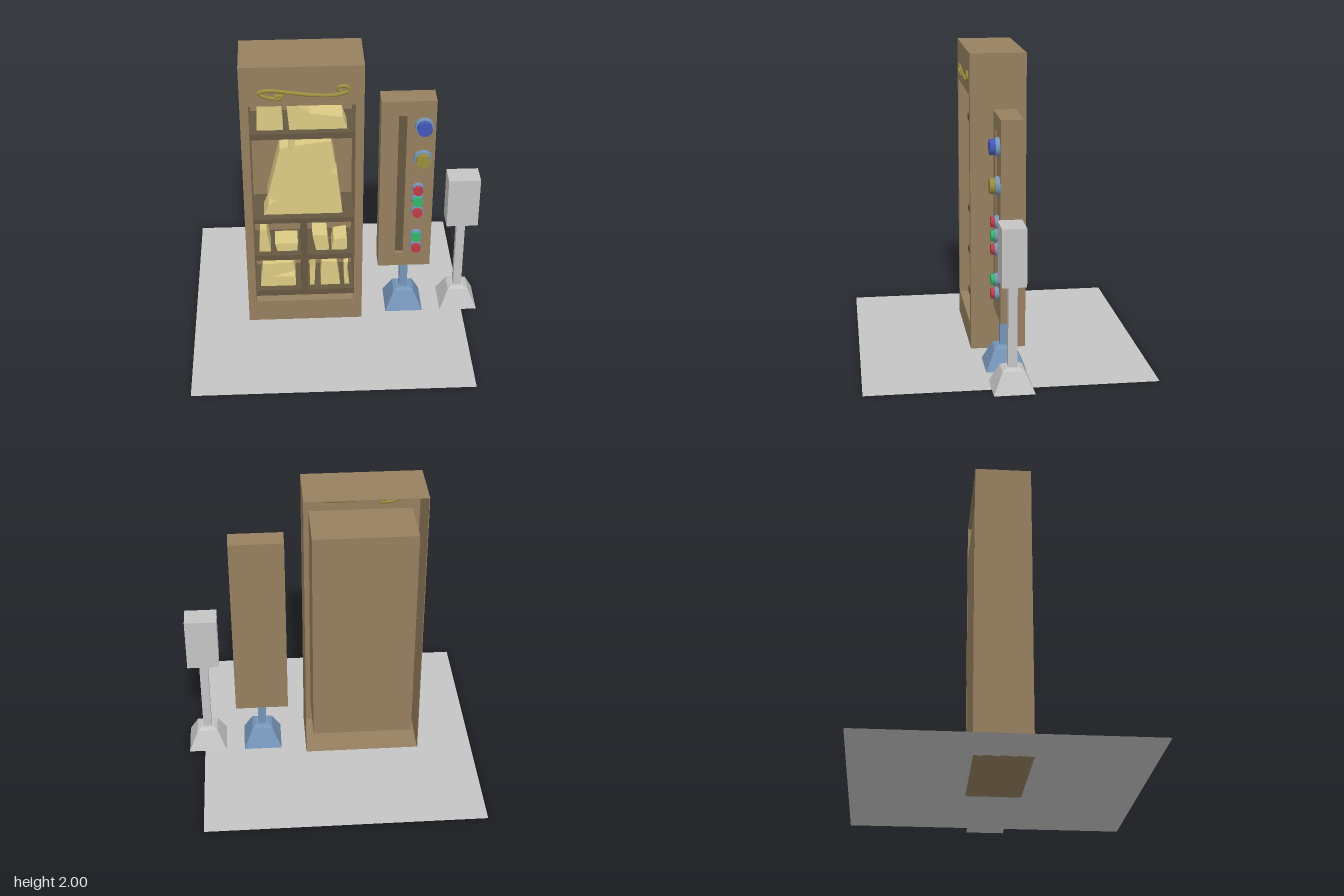
import * as THREE from 'three';

const mat = (name, color, side = THREE.FrontSide) => {
  const m = new THREE.MeshStandardMaterial({ color, side });
  m.name = name;
  return m;
};

export function createModel() {
  const wood = mat('wood', 0x96805f);
  const darkWood = mat('darkWood', 0x665842);
  const parchment = mat('paleStone', 0xdccb84);
  const gold = mat('gold', 0x988d3d);
  const steel = mat('blueSteel', 0x7494b8);
  const grey = mat('grey', 0xc4c4c4, THREE.DoubleSide);
  const blue = mat('blue', 0x4258bb);
  const red = mat('red', 0xc03c48);
  const green = mat('green', 0x32b569);

  const model = new THREE.Group();
  const group = (name) => {
    const g = new THREE.Group();
    g.name = name;
    model.add(g);
    return g;
  };
  const add = (parent, name, geo, material) => {
    const m = new THREE.Mesh(geo, material);
    m.name = name;
    parent.add(m);
    return m;
  };
  // Box given by its limits on each axis
  const box = (parent, name, material, x0, x1, y0, y1, z0, z1) => {
    const m = add(parent, name, new THREE.BoxGeometry(x1 - x0, y1 - y0, z1 - z0), material);
    m.position.set((x0 + x1) / 2, (y0 + y1) / 2, (z0 + z1) / 2);
    return m;
  };
  const polygon = (pts) => new THREE.Shape(pts.map(([x, y]) => new THREE.Vector2(x, y)));
  const rect = (x0, x1, y0, y1) => [[x0, y0], [x1, y0], [x1, y1], [x0, y1]];
  // Polygon extruded between two depths, with optional holes
  const slab = (parent, name, material, pts, z0, z1, holes = []) => {
    const shape = polygon(pts);
    holes.forEach((h) => shape.holes.push(polygon(h)));
    const geo = new THREE.ExtrudeGeometry(shape, { depth: z1 - z0, bevelEnabled: false });
    add(parent, name, geo, material).position.z = z0;
  };

  // Floor
  const floor = add(model, 'floor', new THREE.PlaneGeometry(1.87, 1.87), grey);
  floor.rotation.x = -Math.PI / 2;
  floor.position.set(-0.055, 0, -0.005);

  // Cabinet: thin shell, open at the back
  const cabinet = group('cabinet');
  const T = 0.004;
  const [L, R, B, F] = [-0.615, 0.17, -0.187, 0.182];
  slab(cabinet, 'frontFrame', wood, rect(L, R, 0, 2), F - T, F, [rect(-0.56, 0.115, 0.165, 1.725)]);
  box(cabinet, 'rightWall', wood, L, L + T, 0, 2, B, F - T);
  box(cabinet, 'leftWall', wood, R - T, R, 0, 2, B, F - T);
  box(cabinet, 'top', wood, L + T, R - T, 2 - T, 2, B, F - T);
  box(cabinet, 'bottom', wood, L + T, R - T, -0.001, 0.001, B, F - T);

  // Niche set into the cabinet
  box(cabinet, 'nicheBack', wood, -0.56, 0.115, 0.165, 1.725, B, B + T);
  box(cabinet, 'nicheRight', wood, -0.564, -0.56, 0.161, 1.729, B, F - T);
  box(cabinet, 'nicheLeft', wood, 0.115, 0.119, 0.161, 1.729, B, F - T);
  box(cabinet, 'nicheTop', wood, -0.56, 0.115, 1.725, 1.729, B, F - T);
  box(cabinet, 'nicheFloor', wood, -0.56, 0.115, 0.161, 0.165, B, F - T);

  // Shelves and divider
  [[1.44, 1.482], [0.78, 0.817], [0.472, 0.512], [0.165, 0.21]].forEach(([y0, y1]) =>
    box(cabinet, 'shelf', darkWood, -0.56, 0.115, y0, y1, B + T, 0.12));
  box(cabinet, 'divider', darkWood, -0.243, -0.2, 0.21, 0.472, B + T, 0.12);
  box(cabinet, 'divider', darkWood, -0.243, -0.2, 0.512, 0.78, B + T, 0.12);

  // Broken stone pieces on the shelves
  const fragments = [
    [[-0.51, 1.695], [-0.355, 1.675], [-0.345, 1.48], [-0.515, 1.48]],
    [[-0.32, 1.67], [-0.255, 1.665], [-0.17, 1.6], [0.04, 1.57], [0.07, 1.48], [-0.305, 1.48]],
    [[-0.37, 1.34], [-0.315, 1.35], [-0.3, 1.325], [-0.27, 1.36], [-0.035, 1.39], [-0.005, 1.19],
      [-0.04, 1.155], [0.005, 1.12], [0.04, 0.82], [-0.49, 0.82], [-0.455, 0.9], [-0.395, 0.93], [-0.46, 0.96]],
    [[-0.52, 0.705], [-0.475, 0.685], [-0.45, 0.51], [-0.53, 0.51]],
    [[-0.42, 0.575], [-0.265, 0.575], [-0.27, 0.51], [-0.405, 0.51]],
    [[-0.165, 0.64], [-0.065, 0.635], [-0.05, 0.51], [-0.14, 0.51]],
    [[-0.02, 0.595], [0.07, 0.61], [0.07, 0.51], [-0.035, 0.51]],
    [[-0.51, 0.4], [-0.3, 0.415], [-0.285, 0.34], [-0.44, 0.295], [-0.285, 0.285], [-0.285, 0.21], [-0.53, 0.21]],
    [[-0.185, 0.355], [-0.145, 0.415], [-0.155, 0.21], [-0.185, 0.21]],
    [[-0.105, 0.415], [0, 0.405], [0.025, 0.21], [-0.11, 0.21]],
    [[0.05, 0.4], [0.08, 0.405], [0.07, 0.34], [0.09, 0.21], [0.055, 0.21]],
  ];
  fragments.forEach((pts) => slab(cabinet, 'stoneFragment', parchment, pts, -0.08, 0.07));

  // Curled ornament above the niche
  const scrollPath = new THREE.CatmullRomCurve3([
    [-0.39, 1.795], [-0.35, 1.8], [-0.35, 1.784], [-0.43, 1.785], [-0.495, 1.82], [-0.44, 1.837],
    [-0.3, 1.82], [-0.15, 1.8], [0, 1.8], [0.075, 1.83], [0.06, 1.857], [0, 1.85], [0.02, 1.825],
  ].map(([x, y]) => new THREE.Vector3(x, y, 0)));
  const scroll = add(cabinet, 'scrollOrnament', new THREE.TubeGeometry(scrollPath, 90, 0.013, 8), gold);
  scroll.position.z = F;

  // Square stand: flared foot, bevelled cap and post
  const stand = (parent, material, x, postHalf, postTop) => {
    const frustum = (name, top, bottom, y0, y1) => {
      const geo = new THREE.CylinderGeometry(top * Math.SQRT2, bottom * Math.SQRT2, y1 - y0, 4, 1)
        .rotateY(Math.PI / 4).toNonIndexed();
      geo.computeVertexNormals();
      add(parent, name, geo, material).position.set(x, (y0 + y1) / 2, 0);
    };
    frustum('foot', 0.07, 0.13, 0, 0.132);
    frustum('footCap', 0.045, 0.07, 0.132, 0.147);
    box(parent, 'post', material, x - postHalf, x + postHalf, 0.14, postTop, -postHalf, postHalf);
  };

  // Control panel with recessed slot
  const panel = group('controlPanel');
  stand(panel, steel, 0.472, 0.028, 0.35);
  const slot = rect(0.405, 0.46, 0.45, 1.55);
  box(panel, 'panelBody', wood, 0.29, 0.65, 0.343, 1.657, -0.1, 0.015);
  slab(panel, 'panelFront', wood, rect(0.29, 0.65, 0.343, 1.657), 0.015, 0.045, [slot]);
  slab(panel, 'slot', darkWood, slot, 0.015, 0.018);

  // Round buttons in steel collars
  const button = (x, y, r, top, material) => {
    const disc = (name, rTop, rBottom, z0, z1, m) => {
      const geo = new THREE.CylinderGeometry(rTop, rBottom, z1 - z0, 16).rotateX(Math.PI / 2);
      add(panel, name, geo, m).position.set(x, y, (z0 + z1) / 2);
    };
    disc('buttonCollar', r * 0.94, r, 0.045, 0.072, steel);
    disc('buttonCap', r * 0.8, r * 0.8, 0.072, top, material);
  };
  button(0.57, 1.475, 0.062, 0.107, blue);
  button(0.57, 1.228, 0.062, 0.107, gold);
  [[0.99, red], [0.9, green], [0.81, red], [0.61, green], [0.517, red]]
    .forEach(([y, m]) => button(0.545, y, 0.042, 0.095, m));

  // Grey box on its own stand
  const post = group('boxStand');
  stand(post, grey, 0.857, 0.029, 0.69);
  box(post, 'standBox', grey, 0.75, 0.964, 0.688, 1.055, -0.075, 0.078);

  return model;
}
